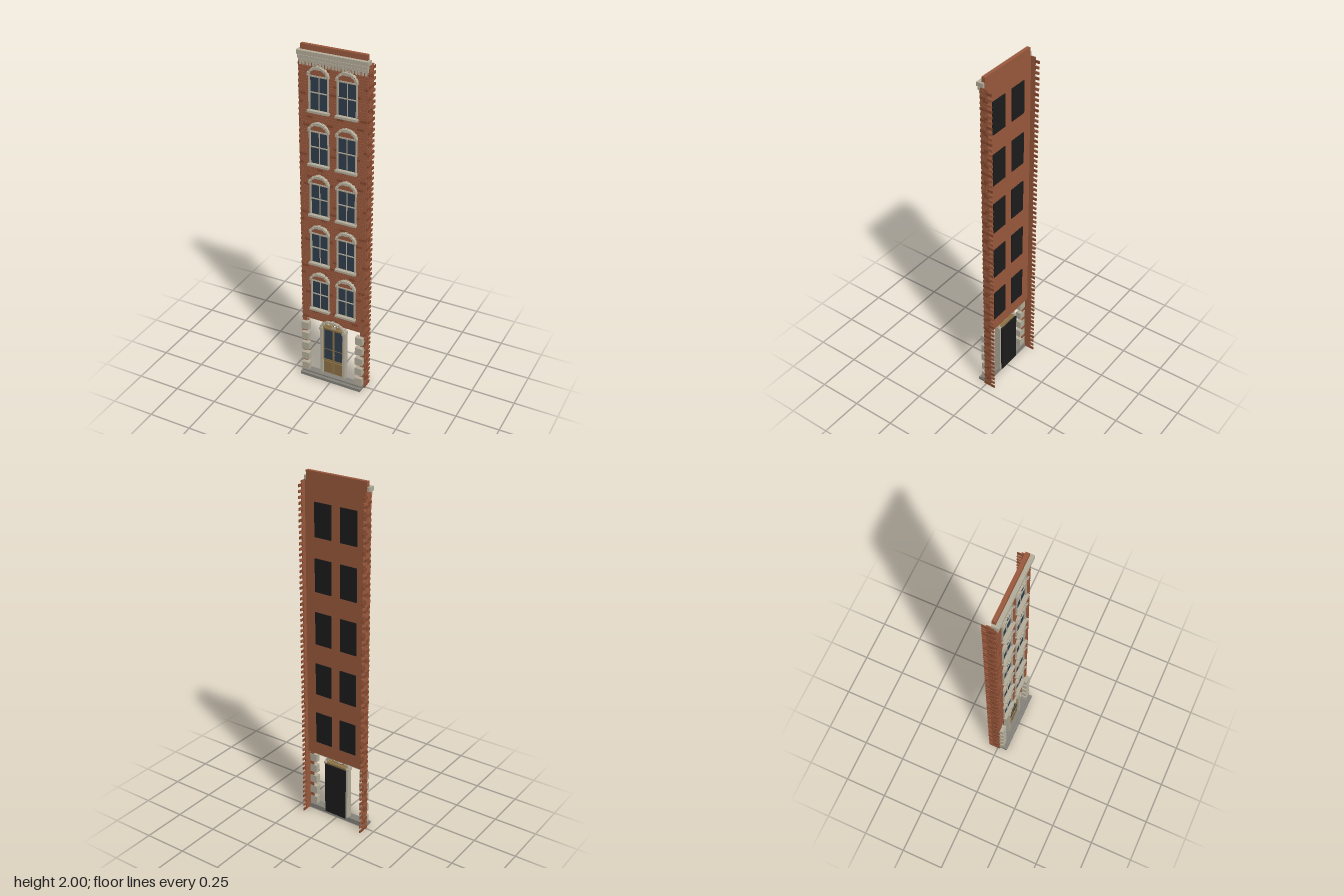
import * as THREE from 'three';
import { mergeGeometries } from 'three/addons/utils/BufferGeometryUtils.js';

export function createModel() {
  const model = new THREE.Group();
  model.name = 'townhouseFacade';

  const mat = (name, color) => {
    const m = new THREE.MeshStandardMaterial({ color });
    m.name = name;
    return m;
  };
  const brick = mat('brick', 0x9a593d);
  const darkBrick = mat('darkBrick', 0x87492f);
  const stone = mat('stone', 0xb5ae9b);
  const stepStone = mat('stepStone', 0x85827a);
  const glass = mat('glass', 0x2f3e4c);
  const wood = mat('wood', 0x8c7145);
  const black = mat('black', 0x1c1c1c);

  // Box given by its limits on each axis
  const box = (x0, x1, y0, y1, z0, z1) =>
    new THREE.BoxGeometry(x1 - x0, y1 - y0, z1 - z0)
      .translate((x0 + x1) / 2, (y0 + y1) / 2, (z0 + z1) / 2);
  const add = (parent, name, geos, material) => {
    const mesh = new THREE.Mesh(mergeGeometries([geos].flat()), material);
    mesh.name = name;
    parent.add(mesh);
    return mesh;
  };

  // Wedge-shaped stones set around half an ellipse
  const archStones = (cx, cy, rx, ry, band, count, z0, z1) => {
    const stones = [];
    for (let i = 0; i < count; i++) {
      const key = i === (count - 1) / 2;
      const a0 = Math.PI * (i + 0.04) / count, a1 = Math.PI * (i + 0.96) / count;
      const out = key ? 0.003 : i % 2 ? 0 : -0.001;
      const at = (a, grow) => new THREE.Vector2(cx + Math.cos(a) * (rx + grow), cy + Math.sin(a) * (ry + grow));
      const shape = new THREE.Shape([at(a0, out), at(a1, out), at(a1, -band), at(a0, -band)]);
      const depth = z1 - z0 + (key ? 0.004 : i % 2 ? 0 : -0.003);
      stones.push(new THREE.ExtrudeGeometry(shape, { depth, bevelEnabled: false }).translate(0, 0, z0));
    }
    return stones;
  };

  // Main wall and parapet
  const wallBottom = 0.38, wallTop = 1.92;
  add(model, 'wall', box(-0.19, 0.19, wallBottom, 1.95, -0.01, 0.01), brick);
  add(model, 'parapet', box(-0.183, 0.183, 1.94, 2, -0.01, 0.01), brick);

  // Floors of paired windows
  const floors = [0.46, 0.76, 1.06, 1.36, 1.66];
  const columns = [-0.079, 0.079];
  const spring = 0.185;

  // Running-bond bricks, cut away around the windows
  const courses = 100, rise = (wallTop - wallBottom) / courses, length = 0.038;
  const light = [], dark = [];
  for (let r = 0; r < courses; r++) {
    const y0 = wallBottom + r * rise, y1 = y0 + rise - 0.0012;
    const floor = floors.find((f) => y1 > f - 0.008 && y0 < f + spring + 0.05);
    let spans = [[-0.19, 0.19]];
    if (floor !== undefined) {
      const t = Math.max(0, (y0 - floor - spring) / 0.052);
      const w = 0.056 * Math.sqrt(Math.max(0, 1 - t * t));
      spans = [[-0.19, -0.079 - w], [-0.079 + w, 0.079 - w], [0.079 + w, 0.19]];
    }
    for (let k = -1; k < 11; k++) {
      const start = -0.19 + (k + (r % 2) / 2) * length;
      for (const [a, b] of spans) {
        const x0 = Math.max(start, a), x1 = Math.min(start + length - 0.0012, b);
        if (x1 - x0 > 0.002) {
          ((k * 7 + r * 5) % 11 === 0 ? dark : light).push(box(x0, x1, y0, y1, 0.009, 0.0145));
        }
      }
    }
  }
  add(model, 'wallBricks', light, brick);
  add(model, 'darkWallBricks', dark, darkBrick);

  // Windows: glass, bars, stone surround, arch, sill and dark backing
  for (const y of floors) {
    for (const cx of columns) {
      const win = new THREE.Group();
      win.name = 'window';
      model.add(win);
      const top = y + spring;
      add(win, 'windowGlass', box(cx - 0.05, cx + 0.05, y, top, 0.009, 0.012), glass);
      add(win, 'windowBacking', box(cx - 0.051, cx + 0.051, y, top, -0.015, -0.01), black);
      add(win, 'windowBars', [
        box(cx - 0.002, cx + 0.002, y, top, 0.011, 0.016),
        box(cx - 0.05, cx + 0.05, y + 0.094, y + 0.099, 0.011, 0.017),
      ], stone);
      add(win, 'windowSurround', [
        box(cx - 0.057, cx - 0.049, y, top, 0.009, 0.021),
        box(cx + 0.049, cx + 0.057, y, top, 0.009, 0.021),
        box(cx - 0.05, cx + 0.05, top - 0.005, top + 0.003, 0.009, 0.02),
      ], stone);
      add(win, 'windowSill', box(cx - 0.061, cx + 0.061, y - 0.009, y + 0.003, 0.009, 0.034), stone);
      const infill = new THREE.Shape();
      infill.absellipse(cx, top, 0.053, 0.045, 0, Math.PI);
      add(win, 'archInfill', new THREE.ExtrudeGeometry(infill, { depth: 0.006, bevelEnabled: false, curveSegments: 10 })
        .translate(0, 0, 0.01), brick);
      add(win, 'windowArch', archStones(cx, top, 0.062, 0.053, 0.013, 13, 0.01, 0.032), stone);
    }
  }

  // Toothed brick returns along both sides
  for (const s of [-1, 1]) {
    const long = [], short = [];
    const n = 128, h = 1.95 / n;
    for (let i = 0; i < n; i++) {
      const isLong = i % 2 === 0;
      const back = isLong ? -0.057 : -0.034;
      const mid = isLong ? -0.022 : -0.004;
      const y0 = i * h, y1 = y0 + h - 0.001;
      const x0 = s > 0 ? 0.191 : -0.197, x1 = x0 + 0.006;
      (i % 3 ? long : short).push(box(x0, x1, y0, y1, back, mid - 0.001));
      (i % 4 ? long : short).push(box(x0, x1, y0, y1, mid, isLong ? 0.012 : 0.008));
    }
    const returns = new THREE.Group();
    returns.name = s > 0 ? 'leftReturn' : 'rightReturn';
    model.add(returns);
    add(returns, 'returnBricks', long, brick);
    add(returns, 'darkReturnBricks', short, darkBrick);
    const x = s * 0.1925;
    add(returns, 'returnCore', box(x - 0.002, x + 0.002, 0, 1.95, -0.033, 0.007), brick);

    // Corner blocks of the ground floor, with brick in between
    const quoins = [], gaps = [];
    for (let i = 0; i < 5; i++) {
      const y0 = 0.028 + i * 0.07;
      quoins.push(box(s * 0.168 - 0.022, s * 0.168 + 0.022, y0, y0 + 0.047, 0.006, 0.036));
      gaps.push(box(s * 0.179 - 0.012, s * 0.179 + 0.012, y0 + 0.047, y0 + 0.07, 0.008, 0.014));
    }
    add(model, 'quoins', quoins, stone);
    add(model, 'quoinInfill', gaps, brick);
  }

  // Doorstep
  add(model, 'doorstep', [
    box(-0.19, 0.19, 0, 0.018, 0, 0.057),
    box(-0.188, 0.188, 0.018, 0.027, 0, 0.04),
  ], stepStone);

  // Double door
  const door = new THREE.Group();
  door.name = 'door';
  model.add(door);
  add(door, 'doorBacking', box(-0.068, 0.068, 0.027, 0.34, -0.02, -0.012), black);
  add(door, 'doorCore', box(-0.064, 0.064, 0.027, 0.34, -0.012, 0.008), wood);
  for (const s of [-1, 1]) {
    const cx = s * 0.031;
    add(door, 'doorGlass', box(cx - 0.026, cx + 0.026, 0.125, 0.335, 0.007, 0.011), glass);
    add(door, 'doorPanel', box(cx - 0.024, cx + 0.024, 0.042, 0.11, 0.007, 0.014), wood);
    add(door, 'doorRails', [
      box(cx - 0.03, cx - 0.026, 0.03, 0.34, 0.007, 0.015),
      box(cx + 0.026, cx + 0.03, 0.03, 0.34, 0.007, 0.015),
      box(cx - 0.026, cx + 0.026, 0.195, 0.198, 0.01, 0.013),
      box(cx - 0.026, cx + 0.026, 0.118, 0.126, 0.007, 0.015),
    ], wood);
    add(door, 'doorPilaster', [
      box(s * 0.07 - 0.007, s * 0.07 + 0.007, 0.027, 0.34, -0.01, 0.026),
      box(s * 0.071 - 0.01, s * 0.071 + 0.01, 0.333, 0.348, -0.01, 0.031),
    ], stone);
  }
  add(door, 'doorHandle', new THREE.SphereGeometry(0.003, 10, 8).translate(0.008, 0.17, 0.018), stone);
  add(door, 'transom', box(-0.064, 0.064, 0.338, 0.348, -0.01, 0.022), wood);

  // Fanlight: open arch with radiating bars
  add(door, 'doorArch', archStones(0, 0.344, 0.08, 0.056, 0.014, 15, 0, 0.03), stone);
  const spokes = [];
  for (let i = 1; i < 6; i++) {
    const a = Math.PI * i / 6;
    const end = new THREE.Vector3(Math.cos(a) * 0.067, Math.sin(a) * 0.043, 0);
    spokes.push(box(0, end.length(), -0.0015, 0.0015, 0.008, 0.014)
      .rotateZ(Math.atan2(end.y, end.x)).translate(0, 0.346, 0));
  }
  add(door, 'fanlightBars', spokes, wood);
  const hub = new THREE.CylinderGeometry(0.014, 0.014, 0.008, 16, 1, false, -Math.PI / 2, Math.PI);
  add(door, 'fanlightHub', hub.rotateX(-Math.PI / 2).translate(0, 0.347, 0.012), stone);

  // Cornice layers and the dentils below
  add(model, 'cornice', [
    box(-0.19, 0.19, 1.913, 1.926, 0.008, 0.02),
    box(-0.193, 0.193, 1.93, 1.946, -0.004, 0.025),
    box(-0.196, 0.196, 1.95, 1.972, -0.008, 0.031),
    box(-0.19, 0.19, 1.926, 1.968, 0.006, 0.018),
  ], stone);
  const dentils = [];
  for (let i = 0; i < 21; i++) {
    const x = -0.18 + i * 0.018;
    dentils.push(box(x - 0.005, x + 0.005, 1.896, 1.913, 0.012, 0.022));
  }
  add(model, 'dentils', dentils, stone);

  return model;
}
